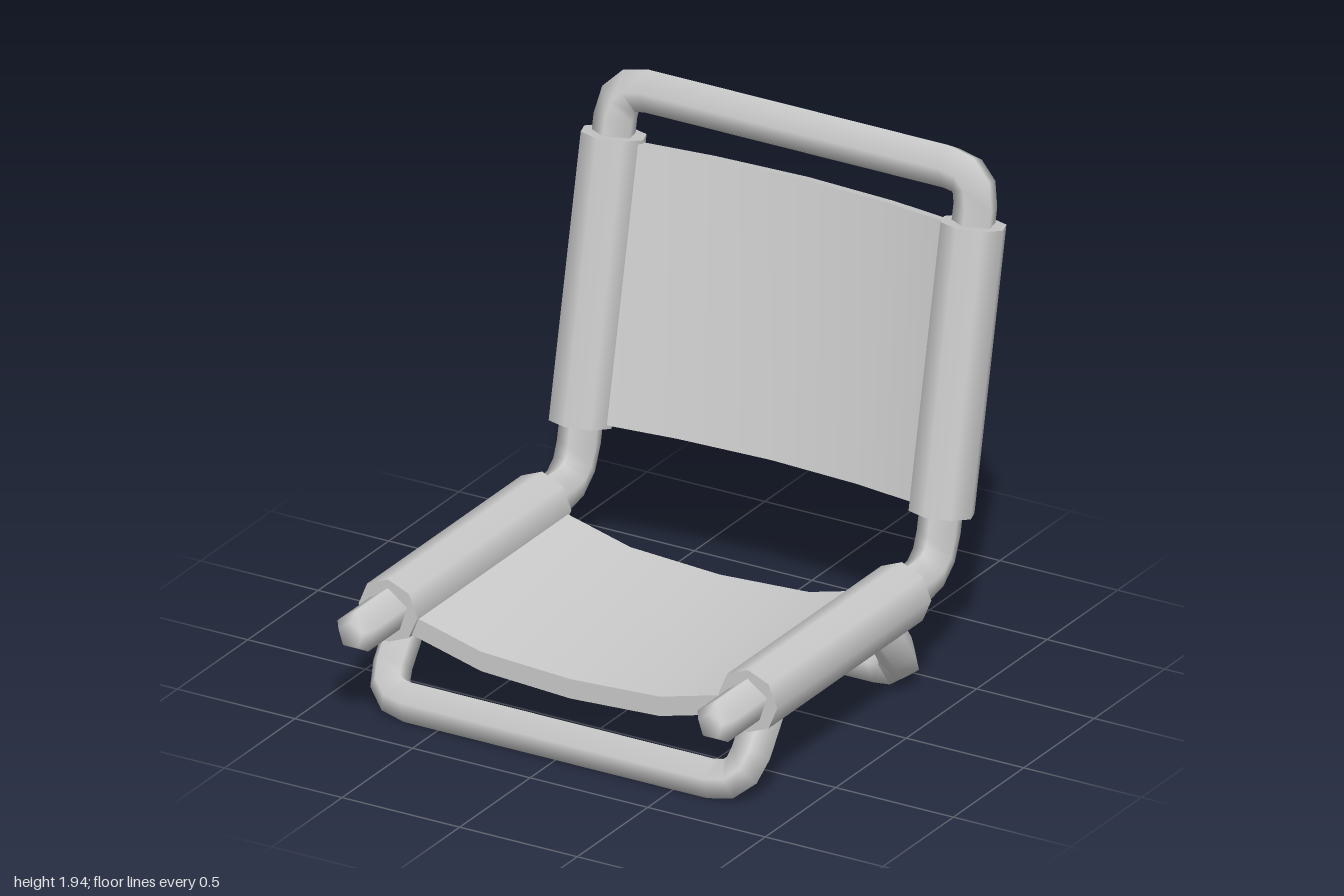
import * as THREE from 'three';
import { toCreasedNormals } from 'three/addons/utils/BufferGeometryUtils.js';

const material = new THREE.MeshStandardMaterial({ color: 0xcccccc });
const SIDE = 0.765; // x of the side tubes
const V = (x, y, z) => new THREE.Vector3(x, y, z);

function add(parent, name, geometry) {
  const mesh = new THREE.Mesh(geometry, material);
  mesh.name = name;
  parent.add(mesh);
  return mesh;
}

// Replace each inner corner of a polyline by a short curve
function roundCorners(corners, reach, steps = 3) {
  const path = [corners[0]];
  for (let i = 1; i < corners.length - 1; i++) {
    const c = corners[i];
    const toward = (p) => c.clone().add(p.clone().sub(c).setLength(reach));
    const bend = new THREE.QuadraticBezierCurve3(toward(corners[i - 1]), c, toward(corners[i + 1]));
    path.push(...bend.getPoints(steps));
  }
  path.push(corners[corners.length - 1]);
  return path;
}

// Five-sided smooth pipe with bevelled, closed ends
function pipe(corners, radius, reach, normal) {
  const sides = 5, bevel = 0.045;
  const path = roundCorners(corners, reach);
  const last = path.length - 1;
  const dir = (a, b) => path[b].clone().sub(path[a]).normalize();
  const rings = path.map((p, i) => {
    const t = dir(Math.max(i - 1, 0), Math.min(i + 1, last));
    return { p: p.clone(), t, r: radius };
  });
  const start = rings[0], end = rings[last];
  rings.unshift({ p: start.p.clone(), t: start.t, r: radius * 0.62 });
  rings.push({ p: end.p.clone(), t: end.t, r: radius * 0.62 });
  start.p.addScaledVector(start.t, bevel);
  end.p.addScaledVector(end.t, -bevel);

  const pos = [], index = [];
  const n = normal.clone();
  for (const { p, t, r } of rings) {
    n.addScaledVector(t, -n.dot(t)).normalize();
    const b = t.clone().cross(n);
    for (let k = 0; k < sides; k++) {
      const a = (k / sides) * Math.PI * 2;
      const q = p.clone().addScaledVector(n, r * Math.cos(a)).addScaledVector(b, r * Math.sin(a));
      pos.push(q.x, q.y, q.z);
    }
  }
  for (let i = 0; i < rings.length - 1; i++) {
    for (let k = 0; k < sides; k++) {
      const a = i * sides + k, b = i * sides + ((k + 1) % sides);
      index.push(a, b, a + sides, b, b + sides, a + sides);
    }
  }
  const top = (rings.length - 1) * sides;
  for (let k = 1; k < sides - 1; k++) {
    index.push(0, k + 1, k, top, top + k, top + k + 1);
  }
  const geometry = new THREE.BufferGeometry();
  geometry.setAttribute('position', new THREE.Float32BufferAttribute(pos, 3));
  geometry.setIndex(index);
  return toCreasedNormals(geometry, 1.35);
}

// Sagging cloth between two octagonal sleeves; length runs along z
function slingPanel(name, edgeY, sag, thickness, clothLength) {
  const group = new THREE.Group();
  group.name = name;
  const length = 1.094;

  for (const s of [1, -1]) {
    const sleeve = new THREE.CylinderGeometry(0.125, 0.125, length, 8).rotateX(Math.PI / 2);
    add(group, s > 0 ? 'leftSleeve' : 'rightSleeve', sleeve).position.x = s * SIDE;
  }

  // Cross-section: half profile mirrored, then offset for the underside
  const half = [[0, sag[0]], [0.38, sag[1]], [0.65, 0], [0.74, -0.03]];
  const upper = [...half.slice(1).reverse().map(([x, d]) => [-x, d]), ...half]
    .map(([x, d]) => new THREE.Vector2(x, edgeY - d));
  const lower = upper.map((p) => new THREE.Vector2(p.x, p.y - thickness)).reverse();
  const cloth = new THREE.ExtrudeGeometry(new THREE.Shape([...upper, ...lower]), {
    depth: clothLength, bevelEnabled: false,
  }).translate(0, 0, -clothLength / 2);
  add(group, 'cloth', toCreasedNormals(cloth, 0.6));
  return group;
}

export function createModel() {
  const model = new THREE.Group();
  model.name = 'foldingChair';

  // Main frame: seat rails, bent up into the backrest and joined at the top
  const frame = [
    V(SIDE, 0.4, 1), V(SIDE, 0.4, -0.6), V(SIDE, 1.865, -0.915),
    V(-SIDE, 1.865, -0.915), V(-SIDE, 0.4, -0.6), V(-SIDE, 0.4, 1),
  ];
  add(model, 'mainFrame', pipe(frame, 0.085, 0.13, V(0, 1, 0)));

  // U-shaped legs splayed to the front and back
  const legs = [['frontLeg', 0.535, 0.775], ['backLeg', -0.16, -0.4]];
  for (const [name, topZ, footZ] of legs) {
    const path = [
      V(SIDE, 0.4, topZ), V(SIDE, 0.075, footZ),
      V(-SIDE, 0.075, footZ), V(-SIDE, 0.4, topZ),
    ];
    add(model, name, pipe(path, 0.078, 0.12, V(1, 0, 0)));
  }

  // Seat
  const seat = slingPanel('seat', -0.01, [0.09, 0.07], 0.078, 1.06);
  seat.position.set(0, 0.395, 0.185);
  model.add(seat);

  // Backrest, leaning slightly backwards
  const back = slingPanel('backrest', 0.02, [0.085, 0.055], 0.045, 1.065);
  back.position.set(0, 1.145, -0.756);
  back.rotation.x = THREE.MathUtils.degToRad(78);
  model.add(back);

  return model;
}
